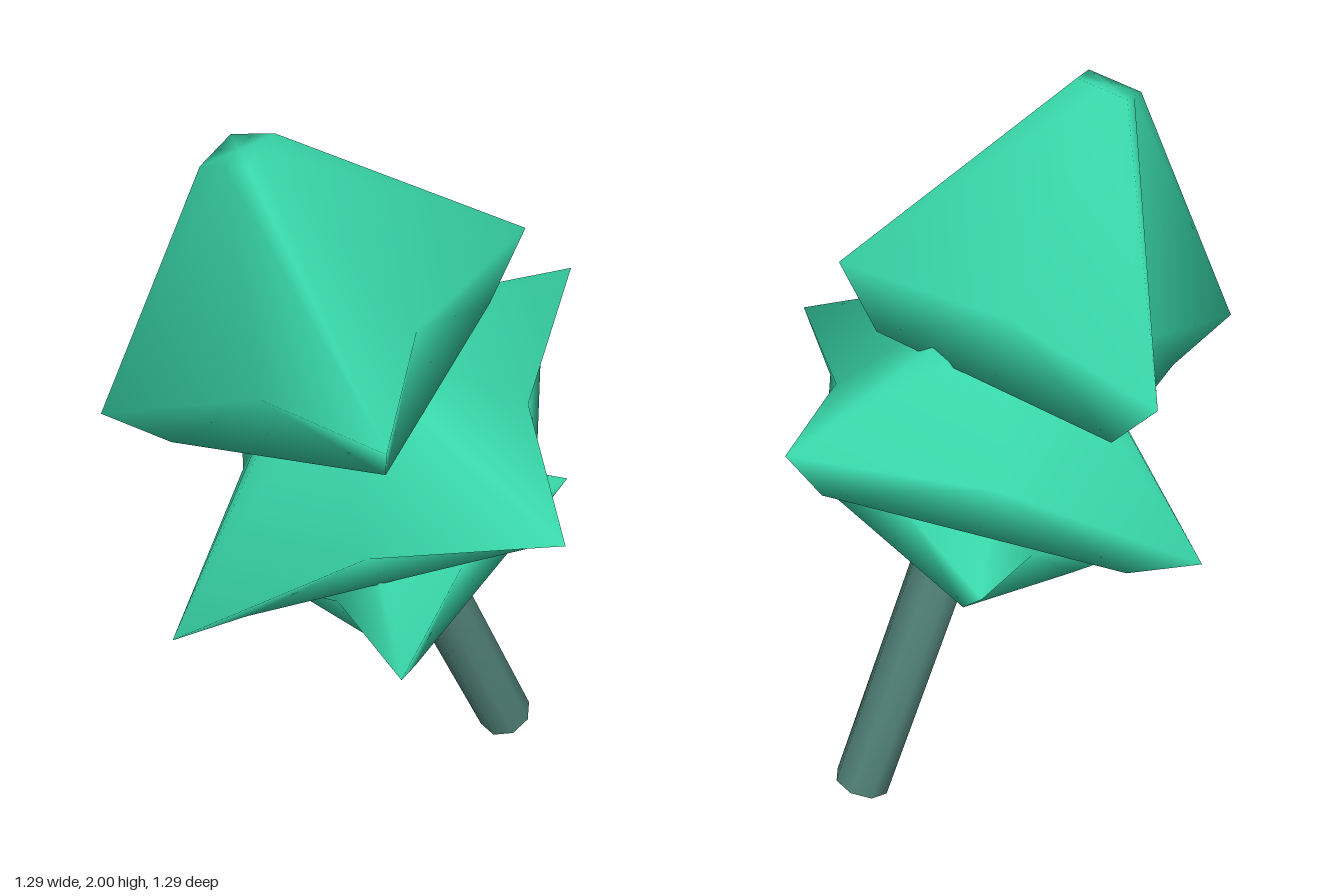
import * as THREE from 'three';
import { mergeVertices } from 'three/addons/utils/BufferGeometryUtils.js';

const leafMaterial = new THREE.MeshStandardMaterial({ color: 0x38d6a8 });
const trunkMaterial = new THREE.MeshStandardMaterial({ color: 0x4f7f75 });
const v = (x, y, z) => new THREE.Vector3(x, y, z);
const mean = (pts) => pts.reduce((s, p) => s.add(p), v(0, 0, 0)).divideScalar(pts.length);

// Four-cornered ring with a middle point on each side, pulled in by `pinch`
function ring(corners, center, pinch) {
  return corners.flatMap((p, i) => {
    const mid = p.clone().lerp(corners[(i + 1) % 4], 0.5);
    return [p, center.clone().lerp(mid, pinch)];
  });
}

// One foliage tier: small cap, star-shaped rim with four tips, hollowed square base
function makeTier(name, tips, { cap, capScale, pinch, base, baseScale }) {
  const center = mean(tips);
  const place = (offset, s) => tips.map((p) => p.clone().sub(center).multiplyScalar(s).add(center).add(offset));
  const capCorners = place(cap, capScale);
  const baseCorners = place(base, baseScale);
  const points = [
    ...ring(capCorners, mean(capCorners), 1),
    ...ring(tips, center, pinch),
    ...ring(baseCorners, mean(baseCorners), 1),
    mean(capCorners), mean(baseCorners).lerp(center, 0.5),
  ];
  const index = [];
  for (let i = 0; i < 8; i++) {
    const j = (i + 1) % 8;
    for (const r of [0, 8]) {
      const [a, b, c, d] = [r + i, r + 8 + i, r + 8 + j, r + j];
      // Mirror the diagonal on alternate sides so each tip is symmetric
      if (i % 2) index.push(a, b, c, a, c, d);
      else index.push(a, b, d, b, c, d);
    }
    index.push(24, i, j, 25, 16 + j, 16 + i);
  }
  const geometry = new THREE.BufferGeometry().setFromPoints(points);
  geometry.setIndex(index);
  geometry.computeVertexNormals();
  const mesh = new THREE.Mesh(geometry, leafMaterial);
  mesh.name = name;
  return mesh;
}

// Leaning trunk, with normals smoothed over its ends
function makeTrunk(foot, top) {
  const axis = top.clone().sub(foot);
  const cylinder = new THREE.CylinderGeometry(0.08, 0.08, axis.length(), 8);
  cylinder.deleteAttribute('uv');
  cylinder.deleteAttribute('normal');
  const geometry = mergeVertices(cylinder);
  geometry.computeVertexNormals();
  const trunk = new THREE.Mesh(geometry, trunkMaterial);
  trunk.name = 'trunk';
  trunk.position.copy(foot).lerp(top, 0.5);
  trunk.quaternion.setFromUnitVectors(v(0, 1, 0), axis.normalize());
  return trunk;
}

export function createModel() {
  const tree = new THREE.Group();
  tree.name = 'leaningTree';
  tree.add(makeTrunk(v(0.248, 0.033, -0.35), v(0.04, 0.98, 0.01)));

  // Foliage tiers, bottom to top
  tree.add(makeTier('lowerFoliage',
    [v(-0.33, 0.66, 0.17), v(0.33, 0.79, 0.4), v(0.45, 1.07, -0.2), v(-0.16, 0.93, -0.43)],
    { cap: v(-0.07, 0.25, 0.09), capScale: 0.2, pinch: 0.74, base: v(0.022, -0.09, -0.035), baseScale: 0.76 }));
  tree.add(makeTier('middleFoliage',
    [v(-0.65, 1.09, -0.29), v(-0.17, 0.86, 0.64), v(0.64, 1.2, 0.21), v(0.21, 1.4, -0.65)],
    { cap: v(-0.07, 0.31, 0.11), capScale: 0.2, pinch: 0.79, base: v(0.024, -0.11, -0.05), baseScale: 0.76 }));
  tree.add(makeTier('upperFoliage',
    [v(-0.52, 1.49, -0.3), v(-0.49, 1.3, 0.46), v(0.34, 1.5, 0.49), v(0.25, 1.68, -0.28)],
    { cap: v(-0.09, 0.475, 0.155), capScale: 0.16, pinch: 0.71, base: v(0.022, -0.155, -0.035), baseScale: 0.77 }));

  return tree;
}
